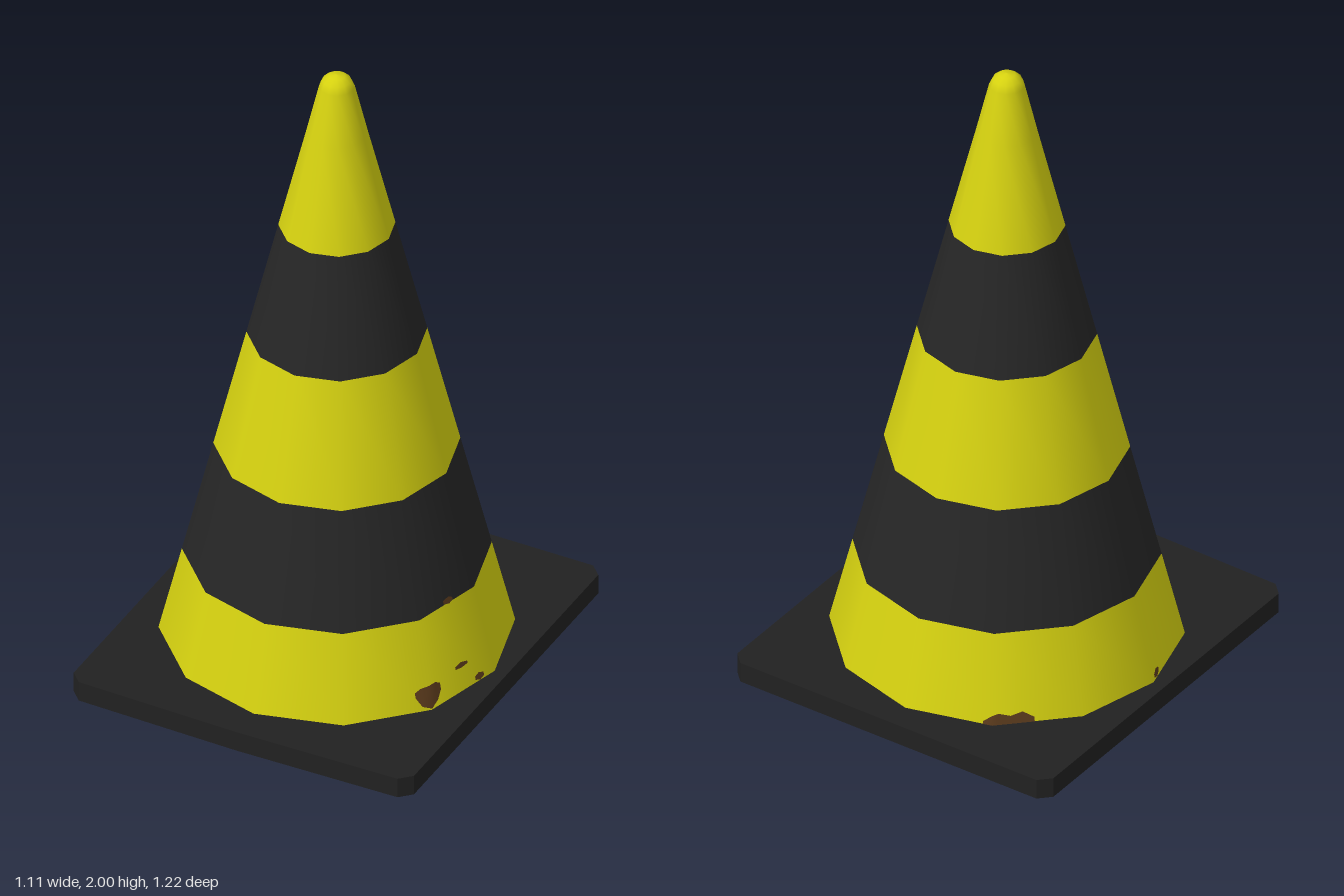
import * as THREE from 'three';

const SIDES = 12;
const CENTRE_Z = -0.01;
const BASE_TOP = 0.065;

// Radius of the straight cone wall at a given height
const wallRadius = (y) => 0.515 - (y - BASE_TOP) * 0.2452;

// A point just proud of the twelve-sided wall
function wallPoint(degrees, y, lift = 0.003) {
  const facet = ((degrees % 30) + 30) % 30;
  const flat = Math.cos(Math.PI / 12) / Math.cos(THREE.MathUtils.degToRad(facet - 15));
  const r = wallRadius(y) * flat + lift;
  const a = THREE.MathUtils.degToRad(degrees);
  return [r * Math.cos(a), y, CENTRE_Z + r * Math.sin(a)];
}

// Thin patch on the wall; each column is [degrees, low y, high y]
function patchGeometry(columns) {
  const positions = [];
  const index = [];
  columns.forEach(([deg, low, high], i) => {
    positions.push(...wallPoint(deg, low), ...wallPoint(deg, high));
    if (i > 0) {
      const b = i * 2;
      index.push(b - 2, b - 1, b, b, b - 1, b + 1);
    }
  });
  const geometry = new THREE.BufferGeometry();
  geometry.setAttribute('position', new THREE.Float32BufferAttribute(positions, 3));
  geometry.setIndex(index);
  geometry.computeVertexNormals();
  return geometry;
}

export function createModel() {
  const group = new THREE.Group();
  const material = (name, color, side = THREE.FrontSide) => {
    const m = new THREE.MeshStandardMaterial({ color, side });
    m.name = name;
    return m;
  };
  const yellow = material('yellow', 0xd6d210);
  const black = material('black', 0x262626);
  const rubber = material('dark rubber', 0x212121);
  const dirt = material('brown dirt', 0x5a3a1c, THREE.DoubleSide);

  const add = (name, geometry, mat) => {
    const mesh = new THREE.Mesh(geometry, mat);
    mesh.name = name;
    group.add(mesh);
    return mesh;
  };

  // Base slab with clipped corners and slightly bowed edges
  const outline = [
    [0.52, -0.6], [0.555, -0.565], [0.555, 0.575], [0.52, 0.61],
    [-0.52, 0.61], [-0.555, 0.575], [-0.555, -0.565], [-0.52, -0.6], [0, -0.61],
  ].map(([x, y]) => new THREE.Vector2(x, y));
  const slab = new THREE.ExtrudeGeometry(new THREE.Shape(outline), {
    depth: BASE_TOP, bevelEnabled: false,
  });
  slab.rotateX(-Math.PI / 2);
  add('base', slab, rubber);

  // Stacked bands of the cone wall
  const levels = [BASE_TOP, 0.34, 0.71, 1.1, 1.475];
  const names = ['lowerBand', 'lowerStripe', 'middleBand', 'upperStripe'];
  const lathe = (points) =>
    new THREE.LatheGeometry(points.map(([r, y]) => new THREE.Vector2(r, y)), SIDES);
  names.forEach((name, i) => {
    const profile = [levels[i], levels[i + 1]].map((y) => [wallRadius(y), y]);
    add(name, lathe(profile), i % 2 ? black : yellow).position.z = CENTRE_Z;
  });

  // Tapered top with a rounded end
  const tip = lathe([
    [wallRadius(1.475), 1.475], [wallRadius(1.8), 1.8], [0.052, 1.96],
    [0.042, 1.982], [0.024, 1.996], [0, 2],
  ]);
  add('tip', tip, yellow).position.z = CENTRE_Z;

  // Small scuffs of dirt on the lower band
  const scuffs = [
    [[25, 0.11, 0.13], [27, 0.085, 0.14], [30, 0.07, 0.14], [33, 0.08, 0.135], [35, 0.11, 0.125]],
    [[-134, 0.066, 0.08], [-130, 0.066, 0.1], [-126, 0.066, 0.09], [-122, 0.066, 0.1],
      [-120, 0.066, 0.095], [-117, 0.066, 0.075]],
    [[5, 0.075, 0.085], [7, 0.068, 0.092], [9, 0.075, 0.085]],
    [[11, 0.138, 0.145], [14, 0.135, 0.152], [17, 0.138, 0.146]],
    [[12, 0.345, 0.352], [14, 0.338, 0.36], [17, 0.345, 0.355]],
    [[175, 0.08, 0.09], [177, 0.07, 0.095], [179, 0.075, 0.085]],
  ];
  scuffs.forEach((columns, i) => add(`dirtScuff${i + 1}`, patchGeometry(columns), dirt));

  return group;
}
